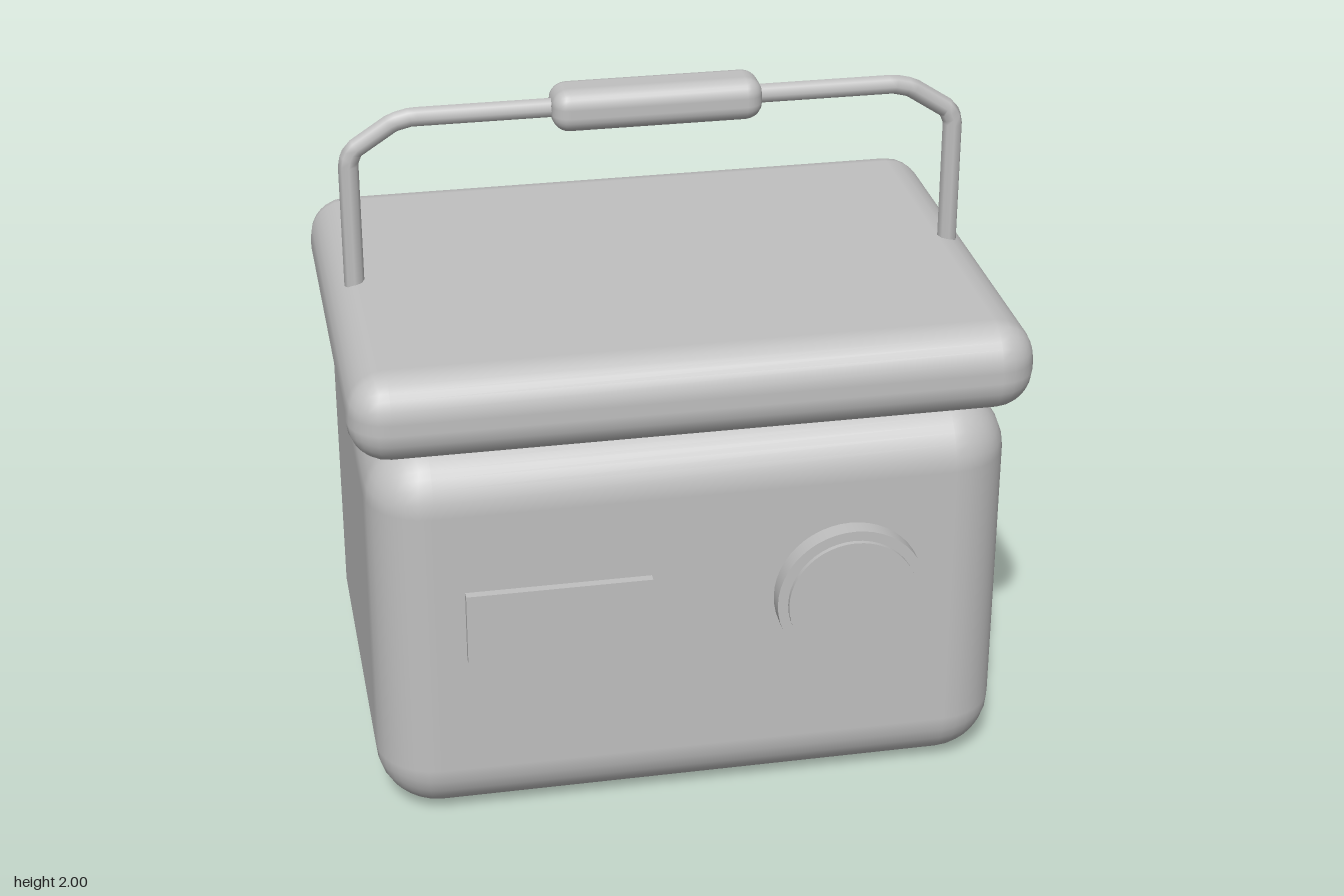
import * as THREE from 'three';
import { RoundedBoxGeometry } from 'three/addons/geometries/RoundedBoxGeometry.js';

const MID_Z = -0.01; // centre plane of the box, lid and handle

export function createModel() {
  const model = new THREE.Group();
  model.name = 'coolBox';
  const grey = new THREE.MeshStandardMaterial({ color: 0xc0c0c0 });
  grey.name = 'light grey';

  const add = (name, geometry, x = 0, y = 0, z = 0) => {
    const mesh = new THREE.Mesh(geometry, grey);
    mesh.name = name;
    mesh.position.set(x, y, z);
    model.add(mesh);
    return mesh;
  };

  // Rounded container and its overhanging lid
  add('body', new RoundedBoxGeometry(1.845, 1.19, 1.32, 4, 0.18), 0, 0.597, MID_Z);
  add('lid', new RoundedBoxGeometry(1.93, 0.262, 1.405, 3, 0.115), 0, 1.319, MID_Z);

  // Handle pivots under the lid, one on each side
  for (const side of [-1, 1]) {
    add(side > 0 ? 'leftPivot' : 'rightPivot',
      new RoundedBoxGeometry(0.11, 0.14, 0.13, 3, 0.04), side * 0.879, 1.16, MID_Z);
  }

  // Carrying handle: straight runs joined by clipped corners
  const half = [[0.88, 1.18], [0.88, 1.815], [0.865, 1.85], [0.75, 1.925], [0.7, 1.937]];
  const points = [...half.map(([x, y]) => [-x, y]), ...half.slice().reverse()]
    .map(([x, y]) => new THREE.Vector3(x, y, 0));
  const path = new THREE.CurvePath();
  for (let i = 1; i < points.length; i++) path.add(new THREE.LineCurve3(points[i - 1], points[i]));
  add('handle', new THREE.TubeGeometry(path, 160, 0.029, 8, false), 0, 0, MID_Z - 0.002);
  add('grip', new RoundedBoxGeometry(0.607, 0.125, 0.15, 3, 0.05), 0, 1.9375, MID_Z - 0.002);

  // Front panel plate
  add('frontPlate', new THREE.BoxGeometry(0.53, 0.216, 0.06), -0.4, 0.663, 0.645);

  // Stepped round dial
  const disc = (name, radius, front) => {
    const depth = front - 0.6;
    const geometry = new THREE.CylinderGeometry(radius, radius, depth, 48).rotateX(Math.PI / 2);
    add(name, geometry, 0.437, 0.663, front - depth / 2);
  };
  disc('dialRim', 0.218, 0.703);
  disc('dialFace', 0.188, 0.717);

  return model;
}
